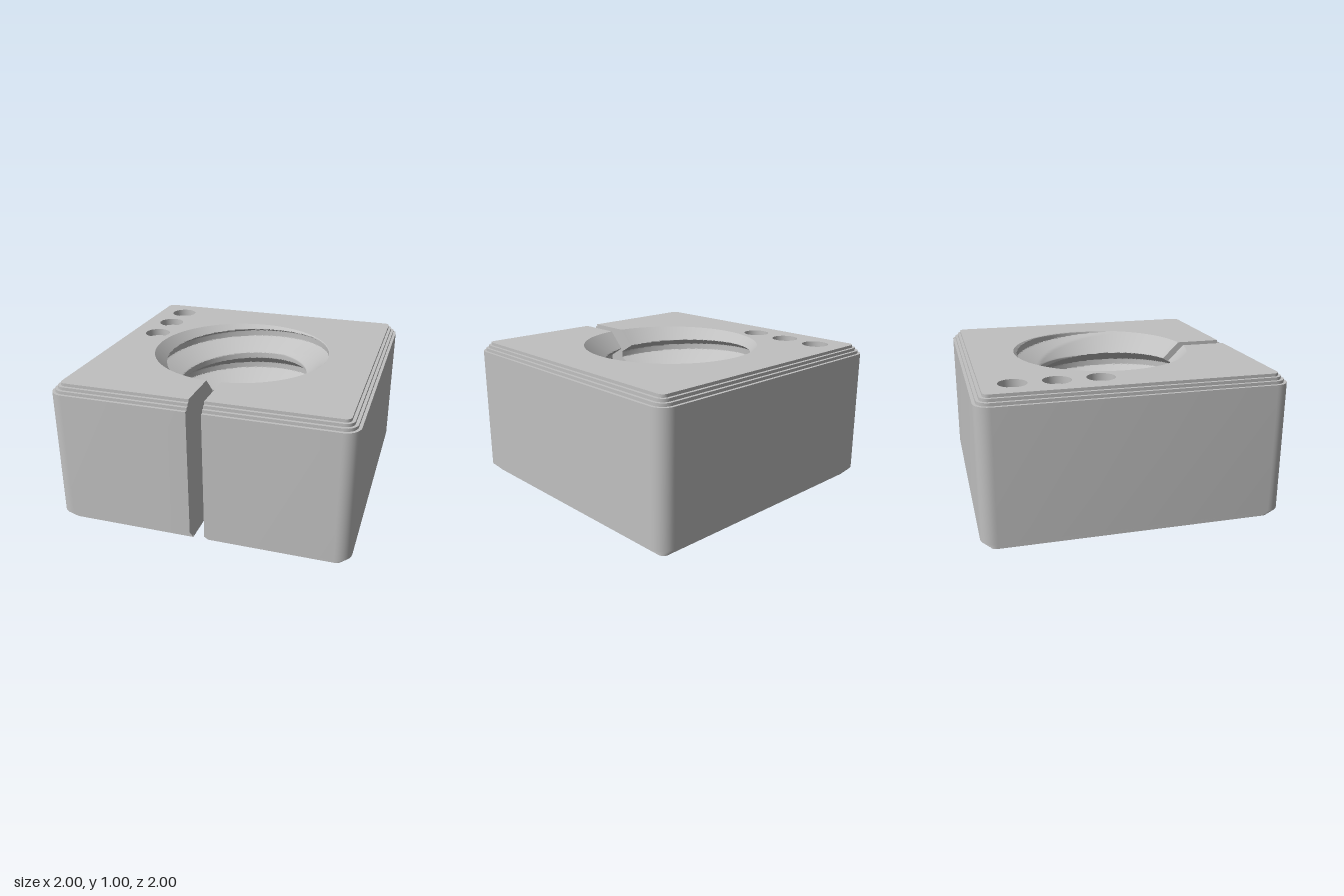
import * as THREE from 'three';
import { toCreasedNormals } from 'three/addons/utils/BufferGeometryUtils.js';

const SLIT = 0.05, TAU = Math.PI * 2;
const CREST = 0.465, DEPTH = 0.155, PITCH = 0.27, FLAT = 0.045, SLOPE = 1.73;
const MOUTH = 0.625, EDGE = 0.06, BORE_ROWS = 240, BORE_COLS = 120;
const HOLES = [-0.74, -0.465, -0.185].map((z) => ({ x: -0.74, z, r: 0.092 }));

// Stepped edge profile: [inset, height]
const STEPS = [[0.06, 0], [0.06, 0.02], [0.04, 0.02], [0.04, 0.04], [0.02, 0.04], [0.02, 0.06], [0, 0.06]];
const PROFILE = [...STEPS, ...STEPS.map(([d, y]) => [d, 1 - y]).reverse()];

// Surface through a grid of points; point(i, j) returns [x, y, z]
function grid(rows, cols, point, flip) {
  const pos = [], idx = [];
  for (let i = 0; i <= rows; i++) for (let j = 0; j <= cols; j++) pos.push(...point(i, j));
  for (let i = 0; i < rows; i++) {
    for (let j = 0; j < cols; j++) {
      const a = i * (cols + 1) + j, b = a + 1, c = a + cols + 1, d = c + 1;
      if (flip) idx.push(a, d, b, a, c, d);
      else idx.push(a, b, d, a, d, c);
    }
  }
  const g = new THREE.BufferGeometry();
  g.setAttribute('position', new THREE.Float32BufferAttribute(pos, 3));
  g.setIndex(idx);
  return toCreasedNormals(g, 0.5);
}

// Rounded square outline, open at the front slit, as [x, z] points
function outline(inset) {
  const r = 0.1 - inset, pts = [[SLIT, 1 - inset]];
  [[1, 1], [1, -1], [-1, -1], [-1, 1]].forEach(([sx, sz], k) => {
    for (let i = 0; i <= 8; i++) {
      const a = (k + i / 8) * Math.PI / 2;
      pts.push([sx * 0.9 + r * Math.sin(a), sz * 0.9 + r * Math.cos(a)]);
    }
  });
  pts.push([-SLIT, 1 - inset]);
  return pts;
}

// Bore radius: helical thread widened by a countersink at each end
function boreRadius(a, y) {
  const turns = (1 - y - 0.089) / PITCH - a / TAU;
  const u = (turns - Math.floor(turns)) * PITCH;
  const thread = CREST + Math.min(DEPTH, SLOPE * u, SLOPE * Math.max(0, PITCH - FLAT - u));
  return Math.max(thread, MOUTH - y, MOUTH - (1 - y));
}

// Bore point, with both ends of every row lying on the slit walls
function borePoint(i, j) {
  const y = i / BORE_ROWS;
  const a = 0.1 + (TAU - 0.2) * j / BORE_COLS;
  let r = boreRadius(a, y);
  if (j === 0 || j === BORE_COLS) {
    const s = j === 0 ? 1 : -1;
    r = boreRadius(j === 0 ? 0.1 : TAU - 0.1, y);
    return [s * SLIT, y, Math.sqrt(r * r - SLIT * SLIT)];
  }
  return [r * Math.sin(a), y, r * Math.cos(a)];
}

// Flat top or bottom face, s = 1 for the top
function capGeometry(s) {
  const pts = outline(EDGE);
  for (let j = BORE_COLS; j >= 0; j--) {
    const [x, , z] = borePoint(0, j);
    pts.push([x, z]);
  }
  const shape = new THREE.Shape(pts.map(([x, z]) => new THREE.Vector2(x, -s * z)));
  if (s > 0) {
    for (const h of HOLES) {
      shape.holes.push(new THREE.Path().absarc(h.x, -h.z, h.r, 0, TAU, true));
    }
  }
  const g = new THREE.ShapeGeometry(shape, 20);
  g.rotateX(-s * Math.PI / 2);
  return g.translate(0, s > 0 ? 1 : 0, 0);
}

// Slit wall showing the thread section, s = 1 for the +x side
function slitWallGeometry(s) {
  const pts = PROFILE.map(([d, y]) => new THREE.Vector2(s * (1 - d), y));
  for (let i = BORE_ROWS; i >= 0; i--) {
    const [, y, z] = borePoint(i, s > 0 ? 0 : BORE_COLS);
    pts.push(new THREE.Vector2(s * z, y));
  }
  const g = new THREE.ShapeGeometry(new THREE.Shape(pts));
  g.rotateY(-s * Math.PI / 2);
  return g.translate(s * SLIT, 0, 0);
}

export function createModel() {
  const group = new THREE.Group();
  group.name = 'threadedClampBlock';
  const grey = new THREE.MeshStandardMaterial({ color: 0xc0c0c0 });
  grey.name = 'grey';
  const add = (name, geometry) => {
    const mesh = new THREE.Mesh(geometry, grey);
    mesh.name = name;
    group.add(mesh);
    return mesh;
  };

  // Outer walls with stepped edges
  const rings = PROFILE.map(([d]) => outline(d));
  add('outerWalls', grid(PROFILE.length - 1, rings[0].length - 1, (i, j) => {
    const [x, z] = rings[i][j];
    return [x, PROFILE[i][1], z];
  }, false));

  add('topFace', capGeometry(1));
  add('bottomFace', capGeometry(-1));

  // Threaded bore and the slit that opens it to the front
  add('threadedBore', grid(BORE_ROWS, BORE_COLS, borePoint, true));
  add('leftSlitWall', slitWallGeometry(1));
  add('rightSlitWall', slitWallGeometry(-1));

  // Three shallow round marker pits
  HOLES.forEach((h, i) => {
    const profile = [[h.r, 1], [h.r, 0.95], [0, 0.95]].map(([x, y]) => new THREE.Vector2(x, y));
    const pit = add('markerPit' + (i + 1), toCreasedNormals(new THREE.LatheGeometry(profile, 40), 0.5));
    pit.position.set(h.x, 0, h.z);
  });

  return group;
}
